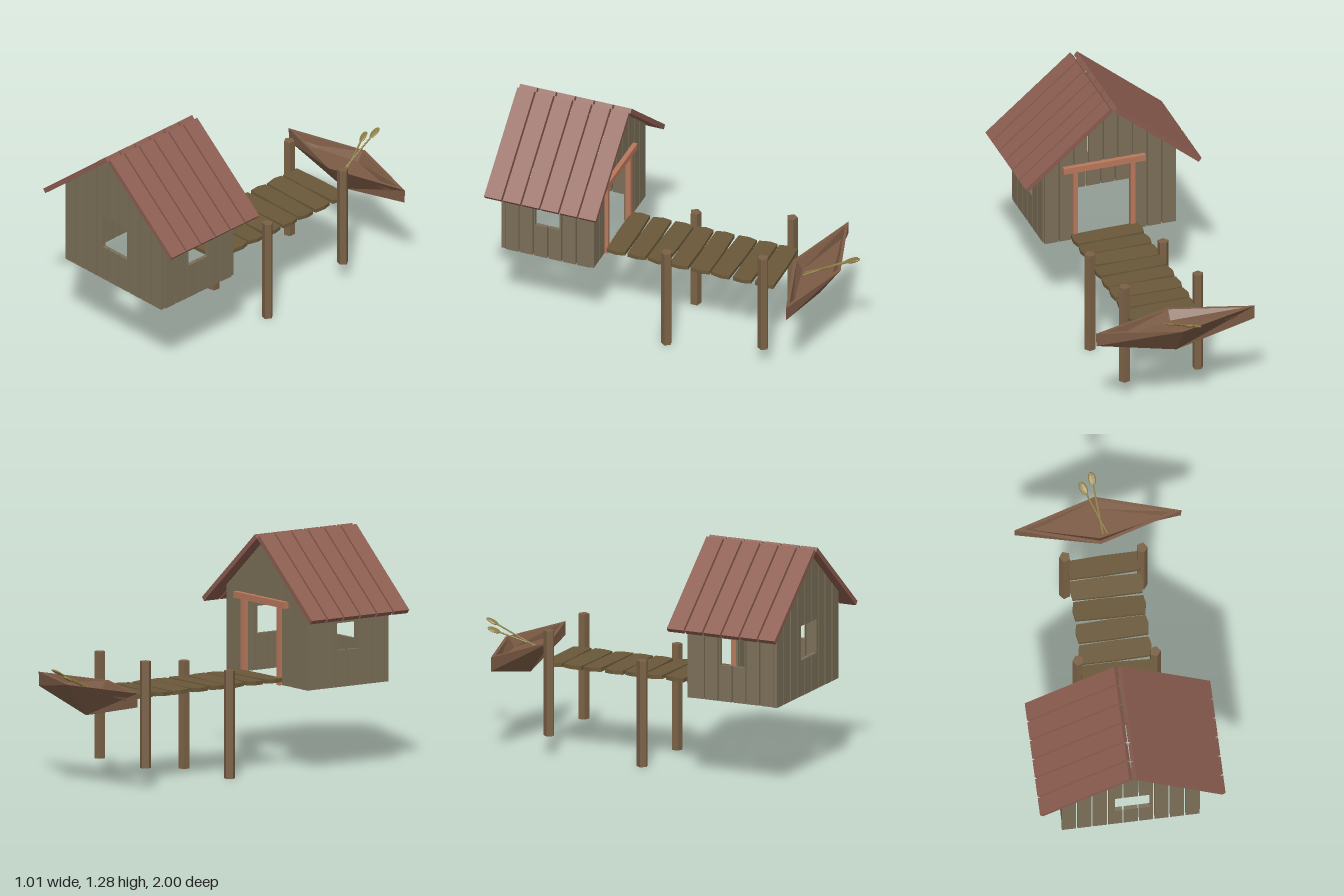
import * as THREE from 'three';

const mat = (color) => new THREE.MeshStandardMaterial({ color, flatShading: true });
const WALL = mat(0x7b6f58), ROOF = mat(0x8c5d50), DECK = mat(0x6a5839), POST = mat(0x7a6146);
const FRAME = mat(0xb9785c), HULL = mat(0x7c5b45), OAR = mat(0x8c7b42);
HULL.side = THREE.DoubleSide;

const BASE = 0.47, T = 0.022;
const gableTop = (x) => 1.262 - 0.835 * Math.abs(x);
const sideTop = () => 0.92;

function add(parent, name, geometry, material, x = 0, y = 0, z = 0) {
  const m = new THREE.Mesh(geometry, material);
  m.name = name;
  m.position.set(x, y, z);
  parent.add(m);
  return m;
}

// One upright board from u0 to u1 whose top follows a rule
function board(parent, u0, u1, y0, top) {
  if (u1 - u0 < 0.001) return;
  const pts = [[u0, y0], [u1, y0], [u1, top(u1)]];
  if (u0 < 0 && u1 > 0) pts.push([0, top(0)]);
  pts.push([u0, top(u0)]);
  const shape = new THREE.Shape(pts.map((p) => new THREE.Vector2(p[0], p[1])));
  const geo = new THREE.ExtrudeGeometry(shape, { depth: T, bevelEnabled: false });
  add(parent, 'wallBoard', geo.translate(0, 0, -T / 2), WALL);
}

// Wall of boards with a rectangular opening cut through them
function plankWall(name, start, count, pitch, gap, top, [o0, o1, y0, y1]) {
  const wall = new THREE.Group();
  wall.name = name;
  for (let i = 0; i < count; i++) {
    const a = start + i * pitch, b = a + pitch - gap;
    if (b <= o0 || a >= o1) { board(wall, a, b, BASE, top); continue; }
    board(wall, a, Math.max(a, o0), BASE, top);
    board(wall, Math.min(b, o1), b, BASE, top);
    const c = Math.max(a, o0), d = Math.min(b, o1);
    if (y0 > BASE) board(wall, c, d, BASE, () => y0);
    board(wall, c, d, y1, top);
  }
  return wall;
}

function makeHouse() {
  const house = new THREE.Group();
  house.name = 'hut';
  const front = plankWall('frontWall', -0.38, 9, 0.0842, 0.008, gableTop, [-0.09, 0.1, 0.67, 0.86]);
  front.position.z = 0.942;
  const back = plankWall('backWall', -0.38, 9, 0.0842, 0.008, gableTop, [-0.12, 0.19, BASE, 0.9]);
  back.position.z = 0.425;
  house.add(front, back);
  for (const s of [-1, 1]) {
    const side = plankWall(s > 0 ? 'leftWall' : 'rightWall', -0.25, 6, 0.0833, 0.008, sideTop, [-0.075, 0.07, 0.67, 0.82]);
    side.rotation.y = -Math.PI / 2;
    side.position.set(s * 0.365, 0, 0.685);
    house.add(side);
  }

  // Door frame on the back wall
  for (const x of [-0.13, 0.2]) add(house, 'doorPost', new THREE.BoxGeometry(0.026, 0.43, 0.03), FRAME, x, 0.685, 0.41);
  add(house, 'doorLintel', new THREE.BoxGeometry(0.47, 0.035, 0.034), FRAME, 0.035, 0.915, 0.405);

  // Roof boards, six on each slope
  const slope = Math.atan(0.835);
  for (const s of [-1, 1]) {
    for (let i = 0; i < 6; i++) {
      const r = add(house, 'roofBoard', new THREE.BoxGeometry(0.633, 0.027, 0.1), ROOF, s * 0.254, 1.067, 0.4 + i * 0.11);
      r.rotation.z = -s * slope;
    }
  }
  return house;
}

function makeBridge() {
  const bridge = new THREE.Group();
  bridge.name = 'footbridge';
  const outline = [[-0.19, -0.054], [0, -0.057], [0.19, -0.054], [0.2, 0.005], [0.19, 0.052], [0, 0.056], [-0.19, 0.052], [-0.2, 0.005]];
  const geo = new THREE.ExtrudeGeometry(new THREE.Shape(outline.map((p) => new THREE.Vector2(...p))), { depth: 0.022, bevelEnabled: false });
  geo.rotateX(-Math.PI / 2).translate(0, -0.011, 0);
  for (let i = 0; i < 8; i++) {
    const p = add(bridge, 'deckBoard', geo, DECK, 0.035, 0.501, 0.347 - i * 0.1232);
    p.rotation.set(0.05 * Math.sin(i * 2.3), 0.025 * Math.sin(i * 1.9 + 1), 0);
  }
  // Five-sided piles, the outer pair set higher
  for (const [z, y0, y1] of [[0.04, 0, 0.59], [-0.522, 0.11, 0.695]]) {
    for (const s of [-1, 1]) {
      const pile = add(bridge, 'pile', new THREE.CylinderGeometry(0.031, 0.031, y1 - y0, 5), POST, 0.035 + s * 0.21, (y0 + y1) / 2, z);
      pile.rotation.y = s * Math.PI / 2;
    }
  }
  return bridge;
}

// Boat skin lofted through diamond rings: [half length, end height, half width, middle height]
function makeBoat() {
  const boat = new THREE.Group();
  boat.name = 'boat';
  const rings = [
    [0.453, 0.495, 0.015, 0.395],
    [0.455, 0.572, 0.137, 0.572],
    [0.4, 0.572, 0.118, 0.572],
    [0.36, 0.52, 0.085, 0.52],
  ].map(([l, ye, w, ym]) => [[l, ye, 0], [0, ym, -w], [-l, ye, 0], [0, ym, w]]);
  const pos = [];
  for (let r = 0; r < 3; r++) {
    for (let i = 0; i < 4; i++) {
      const j = (i + 1) % 4;
      const [a, b, c, d] = [rings[r][i], rings[r][j], rings[r + 1][j], rings[r + 1][i]];
      pos.push(...a, ...b, ...c, ...a, ...c, ...d);
    }
  }
  const [k, f] = [rings[0], rings[3]];
  pos.push(...k[0], ...k[3], ...k[1], ...k[1], ...k[3], ...k[2]);
  pos.push(...f[0], ...f[1], ...f[3], ...f[1], ...f[2], ...f[3]);
  const geo = new THREE.BufferGeometry();
  geo.setAttribute('position', new THREE.Float32BufferAttribute(pos, 3));
  geo.computeVertexNormals();
  add(boat, 'hull', geo, HULL, 0.035, 0, -0.752);

  // Paddles leaning over the far side
  for (const [from, to] of [
    [[0.08, 0.52, -0.69], [-0.022, 0.617, -0.93]],
    [[0.055, 0.52, -0.69], [0.03, 0.65, -0.965]],
  ]) {
    const a = new THREE.Vector3(...from), b = new THREE.Vector3(...to);
    const paddle = new THREE.Group();
    paddle.name = 'paddle';
    const length = a.distanceTo(b);
    add(paddle, 'shaft', new THREE.CylinderGeometry(0.005, 0.005, length, 6), OAR, 0, length / 2, 0);
    add(paddle, 'blade', new THREE.SphereGeometry(1, 8, 6).scale(0.022, 0.038, 0.009), OAR, 0, length, 0);
    paddle.position.copy(a);
    paddle.quaternion.setFromUnitVectors(new THREE.Vector3(0, 1, 0), b.clone().sub(a).normalize());
    boat.add(paddle);
  }
  return boat;
}

export function createModel() {
  const model = new THREE.Group();
  model.name = 'waterfrontHut';
  model.add(makeHouse(), makeBridge(), makeBoat());
  return model;
}
